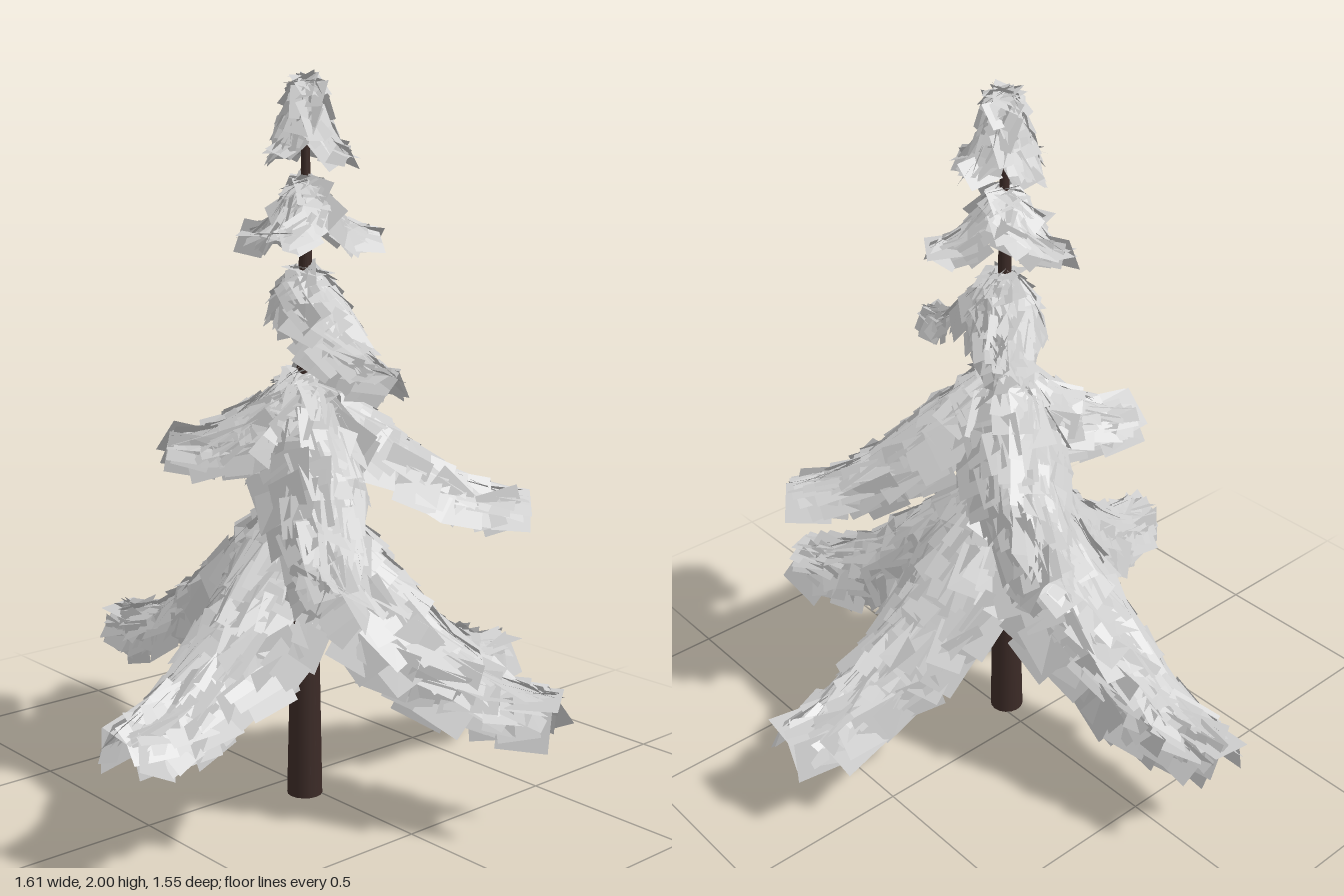
import * as THREE from 'three';
import { mergeGeometries } from 'three/addons/utils/BufferGeometryUtils.js';

const TX = 0.1, TZ = 0.03; // trunk axis
const ARC = 1.1; // half angle of a bough's arched section

function seeded(seed) {
  let s = seed >>> 0;
  return () => {
    s = (s * 1664525 + 1013904223) >>> 0;
    return s / 4294967296;
  };
}

// Drooping bough: an arched sheet of overlapping square needle cards.
// tip = [x, y, z] of the end of the ridge, y0 = ridge height at the trunk
function boughGeometry({ tip, y0, width, drop, rows, cols, card, bow, seed }) {
  const rnd = seeded(seed * 7919 + 17);
  const jit = (a) => (rnd() * 2 - 1) * a;
  const dir = new THREE.Vector3(tip[0] - TX, 0, tip[2] - TZ);
  const len = dir.length();
  dir.normalize();
  const side = new THREE.Vector3(-dir.z, 0, dir.x);

  // Half width and hanging depth swell near the trunk, then narrow to the tip
  const swell = (t, taper) => {
    const rise = 0.45 + 0.55 * Math.sin(Math.min(1, Math.max(0, t) / 0.28) * Math.PI / 2);
    return rise * (1 - taper * Math.max(0, t - 0.28) / 0.72);
  };
  // The ridge leaves the trunk gently, falls steeply, then flares out flat
  const surface = (t, u) => {
    const y = y0 + (tip[1] - y0) * THREE.MathUtils.smoothstep(Math.pow(Math.max(0, t), bow), 0, 1);
    const a = u * ARC;
    return new THREE.Vector3(TX, y - drop * swell(t, 0.72) * (1 - Math.cos(a)) / (1 - Math.cos(ARC)), TZ)
      .addScaledVector(dir, len * t)
      .addScaledVector(side, width * swell(t, 0.68) * Math.sin(a) / Math.sin(ARC));
  };

  const cards = [];
  for (let i = 0; i < rows; i++) {
    for (let j = 0; j < cols; j++) {
      const t = Math.min(0.94, 0.03 + (i + jit(0.4)) / (rows - 1) * 0.91);
      const u = ((j + 0.5 + jit(0.35)) / cols) * 2 - 1;
      const p = surface(t, u);
      const along = surface(t + 0.02, u).sub(surface(t - 0.02, u)).normalize();
      const across = surface(t, u + 0.05).sub(surface(t, u - 0.05));
      across.addScaledVector(along, -across.dot(along)).normalize();
      const normal = new THREE.Vector3().crossVectors(across, along);
      const size = card * (0.8 + rnd() * 0.4);
      const g = new THREE.PlaneGeometry(size, size * 1.15);
      // Slight shingle tilt and random twist
      g.rotateX(0.06 + jit(0.2));
      g.rotateY(jit(0.28));
      g.rotateZ(jit(0.35));
      g.applyMatrix4(new THREE.Matrix4().makeBasis(across, along, normal).setPosition(p));
      cards.push(g);
    }
  }
  return mergeGeometries(cards);
}

export function createModel() {
  const model = new THREE.Group();
  const bark = new THREE.MeshStandardMaterial({ color: 0x3b2a26 });
  const needles = new THREE.MeshStandardMaterial({ color: 0xcccccc, side: THREE.DoubleSide, flatShading: true });

  // Tapering trunk
  const trunk = new THREE.Mesh(new THREE.CylinderGeometry(0.008, 0.05, 1.97, 16), bark);
  trunk.position.set(TX, 0.985, TZ);
  trunk.name = 'trunk';
  model.add(trunk);

  // Tiers of boughs from the ground up
  const tiers = [
    { name: 'bottomBough', y0: 0.88, width: 0.185, drop: 0.22, rows: 21, cols: 7, card: 0.11, bow: 0.75,
      tips: [[-0.77, 0.36, 0.06], [0.76, 0.39, -0.25], [0.13, 0.3, -0.75], [0.23, 0.39, 0.74]] },
    { name: 'middleBough', y0: 1.2, width: 0.14, drop: 0.15, rows: 17, cols: 6, card: 0.1, bow: 0.8,
      tips: [[-0.41, 0.89, -0.27], [0.57, 0.74, 0.33], [0.45, 0.85, -0.46], [-0.08, 1.03, 0.32]] },
    { name: 'upperBough', y0: 1.48, width: 0.105, drop: 0.1, rows: 13, cols: 5, card: 0.085, bow: 0.75,
      tips: [[0.46, 1.23, 0.06], [-0.14, 1.36, -0.18]] },
    { name: 'highBough', y0: 1.71, width: 0.08, drop: 0.07, rows: 7, cols: 4, card: 0.08, bow: 0.75,
      tips: [[-0.05, 1.58, 0.08], [0.18, 1.58, -0.13], [0.16, 1.58, 0.18]] },
    { name: 'crownBough', y0: 1.97, width: 0.05, drop: 0.03, rows: 7, cols: 3, card: 0.07, bow: 0.85,
      tips: [[-0.02, 1.79, 0.02], [0.21, 1.79, 0.0], [0.11, 1.8, 0.13], [0.09, 1.8, -0.09]] },
  ];
  let seed = 1;
  for (const { name, tips, ...shape } of tiers) {
    tips.forEach((tip, i) => {
      const bough = new THREE.Mesh(boughGeometry({ ...shape, tip, seed: seed++ }), needles);
      bough.name = name + (i + 1);
      model.add(bough);
    });
  }
  return model;
}
